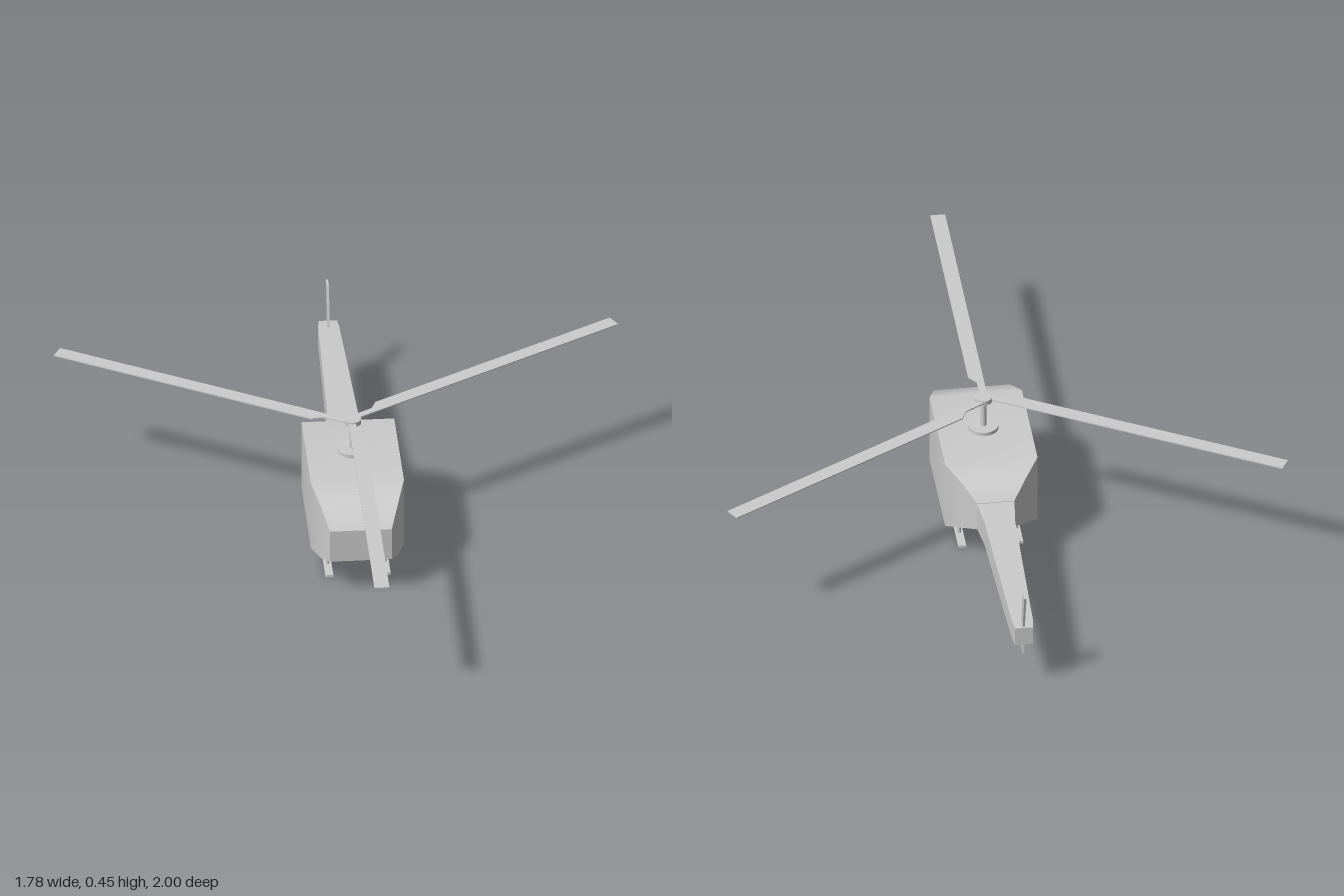
import * as THREE from 'three';

const material = new THREE.MeshStandardMaterial({ color: 0xcccccc });

function add(parent, name, geometry, x = 0, y = 0, z = 0) {
  const mesh = new THREE.Mesh(geometry, material);
  mesh.name = name;
  mesh.position.set(x, y, z);
  parent.add(mesh);
  return mesh;
}

// Loft of rectangular sections [z, halfWidth, bottom, top], front to back.
// Each side is smooth along its length, with sharp edges between sides.
function loft(sections) {
  const rings = sections.map(([z, w, b, t]) => [[w, b, z], [w, t, z], [-w, t, z], [-w, b, z]]);
  const pos = [], index = [];
  for (let k = 0; k < 4; k++) {
    const start = pos.length / 3;
    rings.forEach((r, i) => {
      pos.push(...r[k], ...r[(k + 1) % 4]);
      if (i === rings.length - 1) return;
      const a = start + 2 * i;
      index.push(a, a + 2, a + 1, a + 1, a + 2, a + 3);
    });
  }
  for (const ring of [rings[0], [...rings[rings.length - 1]].reverse()]) {
    const a = pos.length / 3;
    pos.push(...ring.flat());
    index.push(a, a + 1, a + 2, a, a + 2, a + 3);
  }
  const g = new THREE.BufferGeometry();
  g.setAttribute('position', new THREE.Float32BufferAttribute(pos, 3));
  g.setIndex(index);
  g.computeVertexNormals();
  return g;
}

function plate(points, depth) {
  const shape = new THREE.Shape(points.map(([x, y]) => new THREE.Vector2(x, y)));
  return new THREE.ExtrudeGeometry(shape, { depth, bevelEnabled: false }).translate(0, 0, -depth / 2);
}

export function createModel() {
  const model = new THREE.Group();
  model.name = 'helicopter';

  // Cabin and tail boom
  add(model, 'cabin', loft([
    [0.31, 0.097, 0.125, 0.235],
    [0.262, 0.12, 0.109, 0.296],
    [0.175, 0.146, 0.096, 0.332],
    [-0.195, 0.146, 0.096, 0.332],
    [-0.262, 0.095, 0.13, 0.29],
    [-0.3, 0.059, 0.148, 0.246],
  ]));
  add(model, 'tailBoom', loft([
    [-0.3, 0.059, 0.15, 0.244],
    [-0.4, 0.048, 0.154, 0.238],
    [-0.93, 0.033, 0.163, 0.23],
    [-0.968, 0.028, 0.165, 0.228],
  ]));

  // Tail fins, drawn in (z, y)
  const fins = {
    upperFin: [[-0.92, 0.225], [-0.96, 0.225], [-1, 0.36], [-0.963, 0.36]],
    lowerFin: [[-0.92, 0.17], [-0.925, 0.125], [-0.957, 0.122], [-0.955, 0.17]],
  };
  for (const [name, points] of Object.entries(fins)) {
    add(model, name, plate(points, 0.007).rotateY(-Math.PI / 2));
  }

  // Rotor mast and hub
  const rotor = new THREE.Group();
  rotor.name = 'mainRotor';
  rotor.position.z = -0.012;
  model.add(rotor);
  add(rotor, 'mastBase', new THREE.CylinderGeometry(0.047, 0.047, 0.014, 32), 0, 0.337, 0);
  add(rotor, 'mast', new THREE.CylinderGeometry(0.009, 0.009, 0.11, 24), 0, 0.385, 0);
  add(rotor, 'hub', new THREE.CylinderGeometry(0.027, 0.027, 0.016, 32), 0, 0.442, 0);

  // Three blades, each with a narrow root; edge is the straight side's offset
  [-0.014, 0.001, 0.001].forEach((edge, i) => {
    const outline = [[0, 0.015], [0.022, 0.015], [0.024, 0.09], [0.047, 0.12], [0.047, 1.012], [0, 1.012]];
    const points = outline.map(([x, z]) => [x + edge, z]);
    const blade = add(rotor, 'rotorBlade', plate(points, 0.004).rotateX(Math.PI / 2), 0, 0.443, 0);
    blade.rotation.y = i * Math.PI * 2 / 3;
  });

  // Landing skids with struts
  for (const side of [-1, 1]) {
    const gear = new THREE.Group();
    gear.name = side > 0 ? 'leftSkid' : 'rightSkid';
    gear.position.x = side * 0.09;
    model.add(gear);
    add(gear, 'skidRunner', new THREE.BoxGeometry(0.025, 0.009, 0.385), 0, 0.0045, 0.008);
    for (const z of [0.13, -0.11]) {
      add(gear, 'skidStrut', new THREE.CylinderGeometry(0.005, 0.005, 0.1, 16), 0, 0.055, z);
    }
  }
  return model;
}
